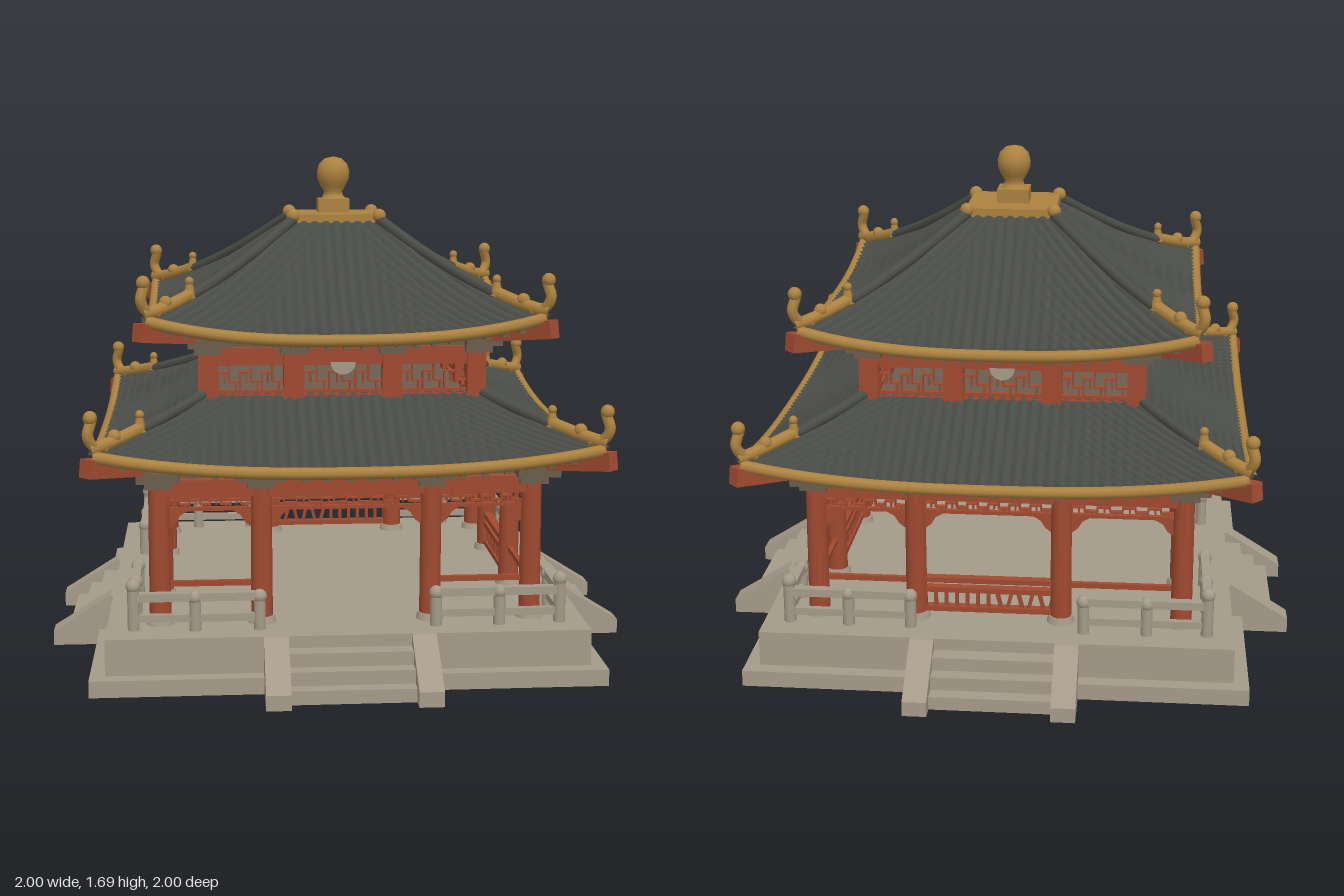
import * as THREE from 'three';
import { ParametricGeometry } from 'three/addons/geometries/ParametricGeometry.js';

const mat = (name, color, extra = {}) => Object.assign(new THREE.MeshStandardMaterial({ color, ...extra }), { name });

export function createModel() {
  const model = new THREE.Group();
  model.name = 'pavilion';
  const stone = mat('stone', 0xa59a88);
  const red = mat('redWood', 0xa04a30);
  const tile = mat('roofTile', 0x4a4c47);
  const gold = mat('goldTrim', 0xac8240);
  const taupe = mat('bracketWood', 0x6b5d4e);

  const add = (parent, name, geo, material, x = 0, y = 0, z = 0) => {
    const m = new THREE.Mesh(geo, material);
    m.name = name;
    m.position.set(x, y, z);
    parent.add(m);
    return m;
  };
  // box given by its extents
  const box = (parent, name, material, x0, x1, y0, y1, z0, z1) =>
    add(parent, name, new THREE.BoxGeometry(x1 - x0, y1 - y0, z1 - z0), material,
      (x0 + x1) / 2, (y0 + y1) / 2, (z0 + z1) / 2);
  const tube = (parent, name, pts, r, material, sides = 8) =>
    add(parent, name, new THREE.TubeGeometry(new THREE.CatmullRomCurve3(pts), pts.length * 3, r, sides), material);
  const V = (x, y, z) => new THREE.Vector3(x, y, z);

  // --- platform and ceilings
  box(model, 'platformBase', stone, -0.84, 0.84, 0, 0.055, -0.84, 0.84);
  box(model, 'platform', stone, -0.79, 0.79, 0.055, 0.175, -0.79, 0.79);
  box(model, 'lowerCeiling', taupe, -0.6, 0.6, 0.655, 0.675, -0.6, 0.6);
  box(model, 'upperFloor', taupe, -0.46, 0.46, 0.88, 0.9, -0.46, 0.46);
  box(model, 'upperCeiling', taupe, -0.45, 0.45, 1.06, 1.09, -0.45, 0.45);

  // --- open fretwork: rails, posts and staggered key-shaped bars
  const fret = (g, x0, x1, y0, y1, z, n) => {
    const t = 0.006, h = y1 - y0, s = (x1 - x0) / n;
    const bar = (a, b, c, d) => box(g, 'fretBar', red, a, b, c, d, z - 0.009, z + 0.009);
    bar(x0, x1, y0 - t, y0 + t);
    bar(x0, x1, y1 - t, y1 + t);
    for (let i = 0; i < n; i++) {
      const a = x0 + i * s, up = i % 2;
      bar(a - t / 2, a + t / 2, y0 + (up ? h * 0.35 : 0), y1 - (up ? 0 : h * 0.3));
      bar(a, a + s, y0 + h * (up ? 0.35 : 0.68) - t / 2, y0 + h * (up ? 0.35 : 0.68) + t / 2);
      bar(a + s * 0.5, a + s * 0.5 + t, up ? y0 : y0 + h * 0.3, up ? y0 + h * 0.35 : y0 + h * 0.68);
    }
  };

  // --- one side of the building, facing +z
  const cheekShape = new THREE.Shape([[0.78, 0], [1, 0], [1, 0.05], [0.8, 0.175], [0.78, 0.175]]
    .map(([x, y]) => new THREE.Vector2(x, y)));
  const cheekGeo = new THREE.ExtrudeGeometry(cheekShape, { depth: 0.08, bevelEnabled: false });
  cheekGeo.rotateY(-Math.PI / 2);
  const columnGeo = new THREE.CylinderGeometry(0.034, 0.036, 0.47, 16);
  const postGeo = new THREE.CylinderGeometry(0.02, 0.02, 0.15, 10);
  const knobGeo = new THREE.SphereGeometry(0.024, 12, 8);
  const spandrel = new THREE.Shape([new THREE.Vector2(0, 0), new THREE.Vector2(0, -0.06),
    new THREE.Vector2(0.02, -0.045), new THREE.Vector2(0.035, -0.02), new THREE.Vector2(0.07, 0)]);
  const spandrelGeo = new THREE.ExtrudeGeometry(spandrel, { depth: 0.02, bevelEnabled: false });

  const makeSide = (name, xl, xr, panel) => {
    const g = new THREE.Group();
    g.name = name;
    // stairs between sloping cheek walls
    for (let i = 0; i < 3; i++)
      box(g, 'step', stone, -0.21, 0.21, 0, 0.045 * (3 - i), 0.78, 0.85 + 0.05 * i);
    for (const x of [-0.2, 0.28]) add(g, 'stairCheek', cheekGeo, stone, x);

    // columns with stacked bracket blocks; the right corner belongs to the next side
    const cols = [-0.615, xl, xr, 0.615];
    for (const x of cols.slice(0, 3)) {
      add(g, 'column', columnGeo, red, x, 0.41, 0.615);
      add(g, 'columnFoot', new THREE.CylinderGeometry(0.042, 0.048, 0.025, 16), stone, x, 0.185, 0.615);
      box(g, 'bracketBlock', taupe, x - 0.045, x + 0.045, 0.635, 0.662, 0.57, 0.665);
      box(g, 'bracketArm', taupe, x - 0.07, x + 0.07, 0.662, 0.695, 0.56, 0.7);
    }
    box(g, 'beam', red, -0.615, 0.615, 0.605, 0.66, 0.595, 0.64);
    // hanging lattice and corner spandrels in each bay
    for (let i = 0; i < 3; i++) {
      const a = cols[i] + 0.034, b = cols[i + 1] - 0.034;
      fret(g, a, b, 0.56, 0.605, 0.615, i === 1 ? 12 : 8);
      add(g, 'spandrel', spandrelGeo, red, a, 0.56, 0.605);
      add(g, 'spandrel', spandrelGeo, red, b, 0.56, 0.625).rotation.y = Math.PI;
      if (i !== 1) box(g, 'handrail', red, a, b, 0.3, 0.318, 0.607, 0.623);
    }
    // red railing closing the middle bay
    if (panel) {
      const a = xl + 0.03, b = xr - 0.03, n = 12;
      for (const y of [0.2, 0.27, 0.305]) box(g, 'panelRail', red, a, b, y, y + 0.018, 0.6, 0.63);
      for (let i = 0; i <= n; i++) {
        const x = a + (b - a) * i / n;
        const m = box(g, 'panelBaluster', red, x - 0.006, x + 0.006, 0.2, 0.285, 0.607, 0.623);
        m.rotation.z = i > 6 ? (i % 2 ? 0.25 : -0.25) : 0;
      }
    }
    // stone balustrades either side of the stairs
    for (const s of [-1, 1]) {
      for (const x of s < 0 ? [0.7, 0.5, 0.29] : [0.5, 0.29]) {
        const top = x === 0.7 ? 0.02 : -0.02;
        add(g, 'stonePost', postGeo, stone, s * x, 0.235 + top, 0.7);
        add(g, 'postKnob', knobGeo, stone, s * x, 0.305 + top, 0.7);
      }
      const [a, b] = s < 0 ? [-0.7, -0.28] : [0.28, 0.7];
      box(g, 'stoneRail', stone, a, b, 0.275, 0.302, 0.685, 0.715);
      box(g, 'stoneLowerRail', stone, a, b, 0.205, 0.23, 0.69, 0.71);
    }

    // upper storey: posts, beams, open windows
    const ups = [-0.45, -0.165, 0.165, 0.45];
    for (const x of ups.slice(0, 3)) {
      box(g, 'upperPost', red, x - 0.033, x + 0.033, 0.86, 1.07, 0.417, 0.48);
      box(g, 'upperBracket', taupe, x - 0.045, x + 0.045, 1.05, 1.075, 0.41, 0.5);
      box(g, 'upperBracketArm', taupe, x - 0.065, x + 0.065, 1.075, 1.105, 0.41, 0.53);
    }
    box(g, 'upperSill', red, -0.45, 0.45, 0.87, 0.912, 0.43, 0.468);
    box(g, 'upperBeam', red, -0.45, 0.45, 1.02, 1.07, 0.43, 0.468);
    for (let i = 0; i < 3; i++) fret(g, ups[i] + 0.033, ups[i + 1] - 0.033, 0.92, 1.015, 0.45, 6);
    const plaque = new THREE.CylinderGeometry(0.042, 0.042, 0.008, 20, 1, false, Math.PI / 2, Math.PI);
    add(g, 'plaque', plaque, stone, 0, 1.02, 0.472).rotation.x = -Math.PI / 2;
    return g;
  };
  const sides = [['front', -0.28, 0.28, false], ['leftSide', -0.21, 0.28, true],
    ['back', -0.28, 0.21, true], ['rightSide', -0.28, 0.28, false]];
  sides.forEach(([name, a, b, panel], i) => {
    const g = makeSide(name, a, b, panel);
    g.rotation.y = i * Math.PI / 2;
    model.add(g);
  });

  // --- curved hipped roofs with ribbed tiles
  const makeRoof = (name, { we, wt, y0, h, k, lift, goldTo, wi, yi }) => {
    const roof = new THREE.Group();
    roof.name = name;
    const point = (u, t, dy = 0) => {
      const w = we + (wt - we) * t;
      return V(u * w, y0 + h * Math.pow(t, k) + lift * Math.pow(Math.abs(u), 2.6) * (1 - t) + dy, w);
    };
    const tileGeo = new ParametricGeometry((a, t, out) => {
      out.copy(point(a * 2 - 1, t));
      out.y += 0.011 * Math.abs(Math.cos(Math.PI * out.x / 0.036)) - 0.004;
    }, 240, 12);
    const soffitGeo = new ParametricGeometry((a, t, out) => {
      const u = 1 - a * 2, w = we - 0.01 + (wi - we + 0.01) * t, e = point(u, 0, -0.02).y;
      out.set(u * w, e + (yi - e) * t, w);
    }, 32, 4);
    const range = (n, f) => Array.from({ length: n + 1 }, (_, i) => f(i / n));
    for (let i = 0; i < 4; i++) {
      const g = new THREE.Group();
      g.name = 'roofQuarter';
      g.rotation.y = i * Math.PI / 2;
      roof.add(g);
      add(g, 'tiles', tileGeo, tile);
      add(g, 'soffit', soffitGeo, taupe);
      tube(g, 'eaveTrim', range(16, s => point((s * 2 - 1) * 0.99, 0.015, -0.008)), 0.02, gold);
      // round tile ends along the eave
      for (let j = -11; j <= 11; j++) {
        const p = point(j / 11.5, 0, -0.02);
        add(g, 'rafterEnd', new THREE.BoxGeometry(0.02, 0.02, 0.1), taupe, p.x, p.y - 0.008, p.z - 0.07);
      }
      // hip ridge: dark above, gold towards the corner
      tube(g, 'hipRidge', range(8, s => point(1, goldTo + (1 - goldTo) * s, 0.008)), 0.019, tile);
      tube(g, 'hipRidgeEnd', range(5, s => point(1, goldTo * s, 0.014)), 0.021, gold);
      const b = point(1, goldTo, 0);
      add(g, 'ridgeFigure', new THREE.CylinderGeometry(0.01, 0.022, 0.055, 8), gold, b.x, b.y + 0.03, b.z);
      add(g, 'ridgeFigureHead', new THREE.SphereGeometry(0.015, 10, 8), gold, b.x, b.y + 0.058, b.z);
      const m = point(1, goldTo * 0.5, 0.028);
      add(g, 'ridgeBead', new THREE.SphereGeometry(0.022, 10, 8), gold, m.x, m.y, m.z);
      // upturned horn at the corner
      const c = point(1, 0);
      const horn = [[-0.05, 0.01], [-0.015, 0.025], [0, 0.06], [-0.008, 0.095], [-0.012, 0.11]]
        .map(([d, y]) => V(c.x + d, c.y + y, c.z + d));
      tube(g, 'cornerHorn', horn, 0.018, gold);
      add(g, 'hornTip', new THREE.SphereGeometry(0.023, 10, 8), gold, c.x - 0.008, c.y + 0.115, c.z - 0.008);
      // red corner beam beneath the eave
      const d = (we + wi) / 2 + 0.02;
      const beam = add(g, 'cornerBeam', new THREE.BoxGeometry(0.05, 0.06, (we - wi) * 1.3), red, d, c.y - 0.06, d);
      beam.rotation.set(-0.12, Math.PI / 4, 0, 'YXZ');
    }
    model.add(roof);
  };
  makeRoof('lowerRoof', { we: 0.825, wt: 0.455, y0: 0.722, h: 0.19, k: 1.2, lift: 0.065, goldTo: 0.42, wi: 0.6, yi: 0.69 });
  makeRoof('upperRoof', { we: 0.66, wt: 0.15, y0: 1.122, h: 0.345, k: 1.35, lift: 0.07, goldTo: 0.3, wi: 0.44, yi: 1.095 });

  // --- gold cap and ball finial
  box(model, 'roofCap', gold, -0.155, 0.155, 1.462, 1.492, -0.155, 0.155);
  for (const x of [-1, 1]) for (const z of [-1, 1])
    add(model, 'capKnob', new THREE.SphereGeometry(0.024, 12, 8), gold, x * 0.15, 1.487, z * 0.15);
  box(model, 'finialBase', gold, -0.055, 0.055, 1.49, 1.54, -0.055, 0.055);
  const profile = [[0.05, 1.535], [0.036, 1.55], [0.032, 1.565], [0.045, 1.585], [0.056, 1.61], [0.058, 1.635],
    [0.05, 1.662], [0.03, 1.681], [0, 1.688]].map(([x, y]) => new THREE.Vector2(x, y));
  add(model, 'finial', new THREE.LatheGeometry(profile, 24), gold);

  return model;
}
